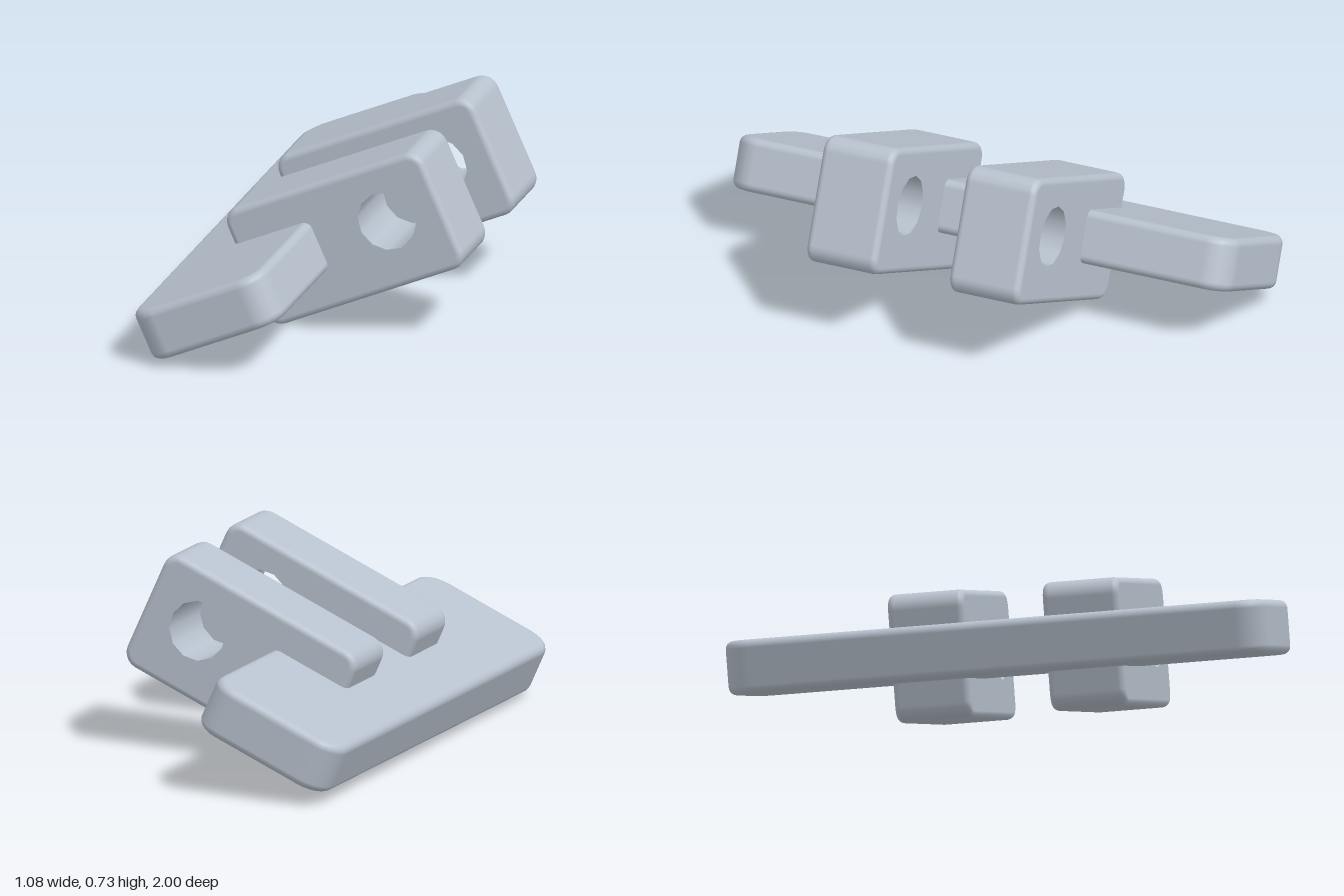
import * as THREE from 'three';
import { mergeGeometries } from 'three/addons/utils/BufferGeometryUtils.js';

// Rounded rectangle as points with outward normals, counter-clockwise
function roundedOutline(w, h, r, segments = 5) {
  const points = [];
  const corners = [[1, 1], [-1, 1], [-1, -1], [1, -1]];
  corners.forEach(([sx, sy], c) => {
    for (let i = 0; i <= segments; i++) {
      const a = (c + i / segments) * Math.PI / 2;
      const n = new THREE.Vector2(Math.cos(a), Math.sin(a));
      points.push({
        n,
        p: new THREE.Vector2(sx * (w / 2 - r) + n.x * r, sy * (h / 2 - r) + n.y * r),
      });
    }
  });
  return points;
}

function flipFaces(geometry) {
  geometry.setIndex(Array.from(geometry.index.array).reverse());
  return geometry;
}

// Plate lying in XY with rounded corners, softened rims and an optional sharp bore
function plateGeometry({ w, h, d, r, bevel, hole }) {
  const outline = roundedOutline(w, h, r);
  const count = outline.length, steps = 4;
  const position = [], normal = [], index = [];

  // Side wall: quarter-round rim, straight wall, quarter-round rim
  for (const side of [-1, 1]) {
    for (let i = 0; i <= steps; i++) {
      const t = (side < 0 ? i / steps - 1 : i / steps) * Math.PI / 2;
      const c = Math.cos(t), s = Math.sin(t);
      for (const { p, n } of outline) {
        const k = bevel * (c - 1);
        position.push(p.x + n.x * k, p.y + n.y * k, side * (d / 2 - bevel) + bevel * s);
        normal.push(n.x * c, n.y * c, s);
      }
    }
  }
  const rows = 2 * (steps + 1);
  for (let j = 0; j < rows - 1; j++) {
    for (let i = 0; i < count; i++) {
      const a = j * count + i, b = j * count + (i + 1) % count;
      index.push(a, b, b + count, a, b + count, a + count);
    }
  }
  const wall = new THREE.BufferGeometry();
  wall.setAttribute('position', new THREE.Float32BufferAttribute(position, 3));
  wall.setAttribute('normal', new THREE.Float32BufferAttribute(normal, 3));
  wall.setIndex(index);
  const parts = [wall];

  // Flat faces
  const shape = new THREE.Shape(outline.map(({ p, n }) => p.clone().addScaledVector(n, -bevel)));
  if (hole) {
    const ring = [];
    for (let i = 0; i < hole.sides; i++) {
      const a = hole.turn + i / hole.sides * Math.PI * 2;
      ring.push(new THREE.Vector2(hole.x + hole.r * Math.cos(a), hole.y + hole.r * Math.sin(a)));
    }
    shape.holes.push(new THREE.Path(ring));

    // Bore wall facing inward
    const bore = new THREE.CylinderGeometry(hole.r, hole.r, d, hole.sides, 1, true);
    bore.rotateX(Math.PI / 2).rotateZ(hole.turn).translate(hole.x, hole.y, 0);
    const bn = bore.attributes.normal;
    for (let i = 0; i < bn.array.length; i++) bn.array[i] *= -1;
    parts.push(flipFaces(bore));
  }
  const front = new THREE.ShapeGeometry(shape).translate(0, 0, d / 2);
  const back = new THREE.ShapeGeometry(shape).translate(0, 0, -d / 2);
  const backNormal = back.attributes.normal;
  for (let i = 0; i < backNormal.count; i++) backNormal.setXYZ(i, 0, 0, -1);
  parts.push(front, flipFaces(back));
  parts.forEach((g) => g.deleteAttribute('uv'));
  return mergeGeometries(parts);
}

export function createModel() {
  const model = new THREE.Group();
  model.name = 'hingeBracket';
  const metal = new THREE.MeshStandardMaterial({ color: 0xb8c2ce });
  metal.name = 'pale steel';

  // Everything leans back at one angle, with a very slight roll
  const tilt = THREE.MathUtils.degToRad(24);
  const bracket = new THREE.Group();
  bracket.name = 'bracket';
  bracket.rotation.set(0.0145, 0, tilt);
  model.add(bracket);

  // Long base bar
  const barGeometry = plateGeometry({ w: 0.552, h: 2, d: 0.197, r: 0.1, bevel: 0.03 });
  barGeometry.rotateX(-Math.PI / 2);
  const bar = new THREE.Mesh(barGeometry, metal);
  bar.name = 'baseBar';
  bar.position.set(-0.146, 0.311, 0);
  bracket.add(bar);

  // Pair of drilled lugs
  const lugGeometry = plateGeometry({
    w: 0.823, h: 0.466, d: 0.283, r: 0.06, bevel: 0.025,
    hole: { x: 0.189, y: 0.018, r: 0.111, sides: 12, turn: Math.PI / 6 - tilt },
  });
  for (const [name, z] of [['frontLug', 0.286], ['backLug', -0.286]]) {
    const lug = new THREE.Mesh(lugGeometry, metal);
    lug.name = name;
    lug.position.set(0.2265, 0.302, z);
    bracket.add(lug);
  }
  return model;
}
